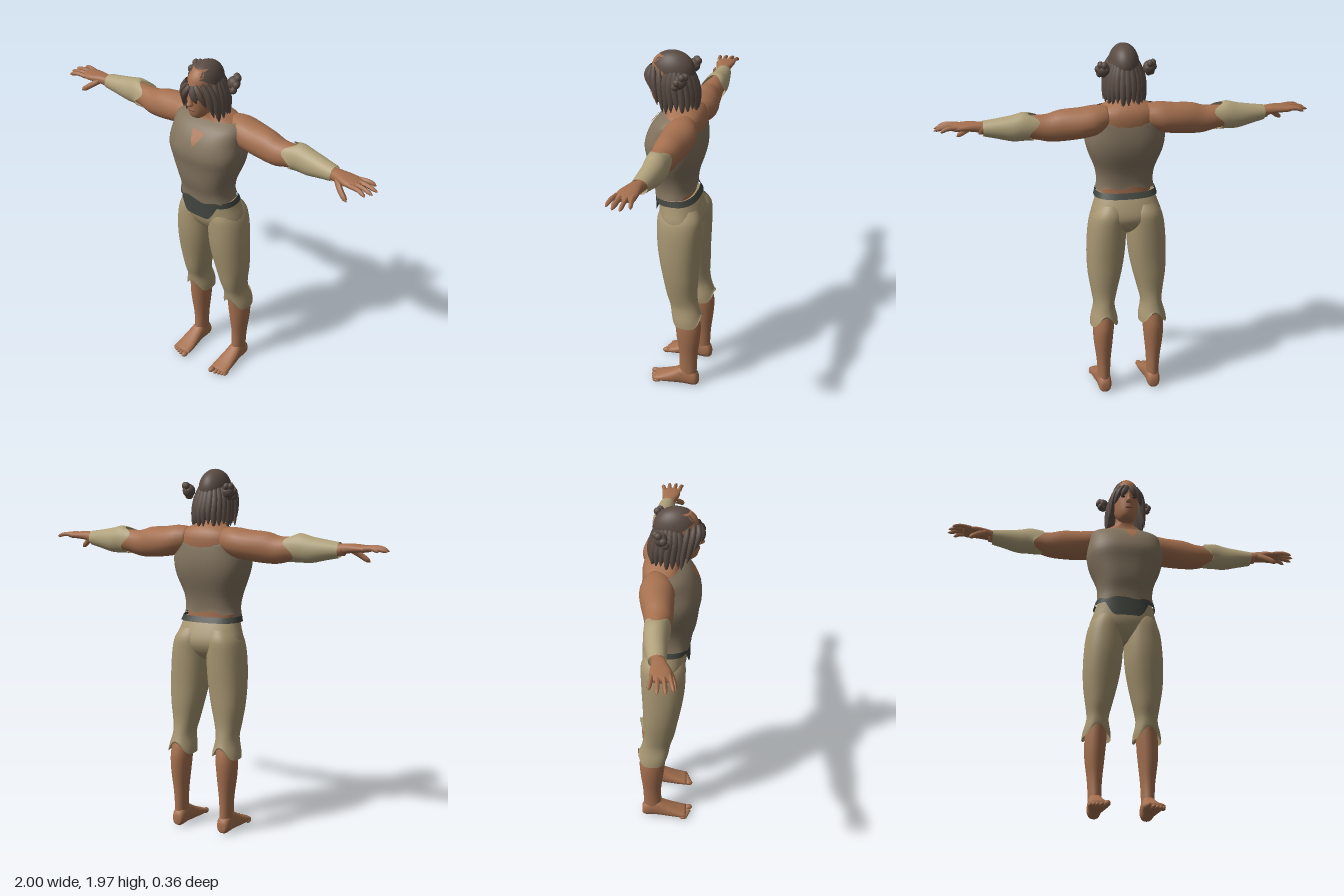
import * as THREE from 'three';

const material = (name, color, side = THREE.FrontSide) => {
  const m = new THREE.MeshStandardMaterial({ color, side });
  m.name = name;
  return m;
};

// Smooth skin through cross-sections [t, u0, u1, v0, v1] stacked along an axis.
// p < 1 squares the section off; startHem / endHem shift the end edges by angle.
function loft(axis, rows, { n = 24, p = 1, open = false, startHem, endHem, sub = 3 } = {}) {
  const last = rows.length - 1, rings = [];
  const at = (i) => rows[Math.max(0, Math.min(last, i))];
  for (let s = 0; s <= last * sub; s++) {
    const i = Math.min(last - 1, Math.floor(s / sub)), f = s / sub - i;
    rings.push(rows[0].map((_, k) => {
      const [a, b, c, d] = [at(i - 1)[k], at(i)[k], at(i + 1)[k], at(i + 2)[k]];
      return b + 0.5 * f * (c - a + f * (2 * a - 5 * b + 4 * c - d + f * (3 * (b - c) + d - a)));
    }));
  }
  const pos = [], index = [];
  const put = (t, u, v) => pos.push(...(axis === 'y' ? [u, t, v] : axis === 'x' ? [t, u, v] : [u, v, t]));
  const pow = (q) => Math.sign(q) * Math.abs(q) ** p;
  const flip = (axis === 'y') !== (rows[last][0] < rows[0][0]);
  const tri = (a, b, c) => index.push(...(flip ? [a, c, b] : [a, b, c]));
  rings.forEach(([t, u0, u1, v0, v1], i) => {
    const f = i / (rings.length - 1);
    for (let j = 0; j < n; j++) {
      const th = (j / n) * Math.PI * 2;
      let tt = t;
      if (startHem) tt += startHem(th) * (1 - f) ** 4;
      if (endHem) tt += endHem(th) * f ** 8;
      put(tt, (u0 + u1) / 2 + pow(Math.cos(th)) * (u1 - u0) / 2, (v0 + v1) / 2 + pow(Math.sin(th)) * (v1 - v0) / 2);
    }
  });
  const end = (rings.length - 1) * n;
  for (let i = 0; i < end; i += n) for (let j = 0; j < n; j++) {
    const k = (j + 1) % n;
    tri(i + j, i + k, i + n + k);
    tri(i + j, i + n + k, i + n + j);
  }
  if (!open) {
    const c = pos.length / 3;
    for (const [t, u0, u1, v0, v1] of [rows[0], rows[last]]) put(t, (u0 + u1) / 2, (v0 + v1) / 2);
    for (let j = 0; j < n; j++) {
      const k = (j + 1) % n;
      tri(c, k, j);
      tri(c + 1, end + j, end + k);
    }
  }
  const g = new THREE.BufferGeometry();
  g.setAttribute('position', new THREE.Float32BufferAttribute(pos, 3));
  g.setIndex(index);
  g.computeVertexNormals();
  return g;
}

// Tube along points whose radius follows a profile
function taper(points, r, profile, segs = 9, sides = 7) {
  const curve = new THREE.CatmullRomCurve3(points.map((q) => new THREE.Vector3(...q)));
  const g = new THREE.TubeGeometry(curve, segs, r, sides), a = g.attributes.position, v = new THREE.Vector3();
  for (let i = 0; i < a.count; i++) {
    const t = Math.floor(i / (sides + 1)) / segs, c = curve.getPointAt(t);
    v.fromBufferAttribute(a, i).sub(c).multiplyScalar(profile(t)).add(c);
    a.setXYZ(i, v.x, v.y, v.z);
  }
  g.computeVertexNormals();
  return g;
}
const lockShape = (t) => Math.max(0.02, Math.sin(Math.PI * (0.15 + 0.85 * t))) ** 0.6;
const fingerShape = (t) => (t > 0.99 ? 0.05 : t > 0.85 ? 0.65 : 1 - 0.2 * t);
const ball = (x, y, z, sx, sy, sz) => new THREE.SphereGeometry(1, 12, 8).scale(sx, sy, sz).translate(x, y, z);

export function createModel() {
  const model = new THREE.Group();
  model.name = 'figure';
  const skin = material('skin', 0xa5704f);
  const cloth = material('shirtCloth', 0x83745f, THREE.DoubleSide);
  const trouser = material('trouserCloth', 0xa59470, THREE.DoubleSide);
  const wrap = material('armWrap', 0xb0a17b, THREE.DoubleSide);
  const dark = material('beltCloth', 0x42453f, THREE.DoubleSide);
  const hair = material('hair', 0x594b43, THREE.DoubleSide);
  const lip = material('lips', 0x834f3c);
  const eye = material('eyes', 0x2e2622);

  const add = (name, geo, mat) => {
    const m = new THREE.Mesh(geo, mat);
    m.name = name;
    model.add(m);
  };
  // Adds a left part and its mirrored right twin
  const pair = (name, geo, mat) => {
    add('left' + name, geo, mat);
    const g = geo.clone().scale(-1, 1, 1), ix = g.index.array;
    for (let i = 0; i < ix.length; i += 3) [ix[i], ix[i + 1]] = [ix[i + 1], ix[i]];
    add('right' + name, g, mat);
  };
  const sym = (rows) => rows.map(([t, w, a, b]) => [t, -w, w, a, b]);

  // Torso, neck and shirt
  add('torso', loft('y', sym([[1.10, .145, -.09, .085], [1.25, .14, -.085, .10], [1.45, .18, -.12, .135],
    [1.58, .18, -.14, .105], [1.64, .155, -.128, .06], [1.675, .085, -.095, .055], [1.70, .056, -.06, .06],
    [1.78, .05, -.04, .07]]), { p: 0.85 }), skin);
  add('shirt', loft('y', sym([[1.65, .165, -.11, .05], [1.62, .198, -.13, .10], [1.56, .205, -.14, .145],
    [1.48, .215, -.145, .17], [1.40, .20, -.135, .158], [1.30, .162, -.105, .145], [1.23, .152, -.095, .125],
    [1.18, .16, -.095, .118]]), {
    n: 40, p: 0.8, open: true,
    startHem: (a) => -0.06 * Math.max(0, -Math.sin(a)),
    endHem: (a) => 0.008 * Math.cos(7 * a) + 0.03 * Math.max(0, -Math.sin(a)),
  }), cloth);
  // Open notch of the collar
  const notch = new THREE.BufferGeometry();
  notch.setAttribute('position', new THREE.Float32BufferAttribute([-.02, 1.615, .114, .06, 1.605, .118,
    .04, 1.565, .15, .015, 1.53, .166, -.003, 1.565, .152], 3));
  notch.setIndex([4, 2, 1, 4, 1, 0, 4, 3, 2]);
  notch.computeVertexNormals();
  add('collarNotch', notch, skin);

  // Hips, trouser legs and belt with a dropped front panel
  add('hips', loft('y', sym([[1.175, .155, -.095, .10], [1.12, .172, -.125, .098], [1.05, .192, -.148, .092],
    [0.99, .165, -.125, .065], [0.95, .09, -.08, .02]]), { n: 32, p: 0.85 }), trouser);
  pair('TrouserLeg', loft('y', [[1.12, .03, .15, -.12, .07], [1.07, .008, .187, -.15, .088], [1.0, .003, .207, -.153, .09],
    [.9, .005, .217, -.15, .085], [.8, .015, .22, -.145, .07], [.7, .035, .215, -.143, .05], [.6, .06, .2, -.14, .03],
    [.53, .075, .192, -.15, .01], [.46, .062, .21, -.165, 0], [.42, .06, .215, -.175, -.005]], {
    n: 32, p: 0.92, open: true, endHem: (a) => 0.075 * Math.abs(Math.sin(a)) ** 6,
  }), trouser);
  add('belt', loft('y', sym([[1.185, .163, -.10, .114], [1.155, .172, -.118, .113]]), {
    n: 64, p: 0.8, open: true, sub: 6,
    endHem: (a) => -0.08 * Math.min(1, Math.max(0, (Math.sin(a) - 0.78) / 0.16)),
  }), dark);

  // Lower legs and bare feet
  pair('Calf', loft('y', [[.53, .085, .182, -.135, -.01], [.42, .082, .198, -.165, -.02], [.32, .09, .197, -.163, -.03],
    [.2, .102, .182, -.15, -.045], [.1, .106, .176, -.146, -.043], [.04, .106, .176, -.145, -.04]]), skin);
  pair('Foot', loft('z', [[-.156, .12, .16, .012, .06], [-.135, .104, .176, 0, .095], [-.07, .102, .18, 0, .115],
    [-.02, .096, .187, 0, .09], [.05, .088, .194, 0, .055], [.10, .088, .195, .002, .036]], { p: 0.85 }), skin);
  for (let i = 0; i < 5; i++) {
    const r = i ? 0.0115 : 0.0165;
    pair('Toe' + i, ball([.104, .132, .153, .172, .187][i], r, .112 - i * .007, r, r, .024), skin);
  }

  // Arms and forearm wraps
  pair('Arm', loft('x', [[.10, 1.54, 1.66, -.12, 0], [.17, 1.51, 1.668, -.145, .03], [.25, 1.495, 1.658, -.142, .032],
    [.35, 1.485, 1.65, -.122, .03], [.42, 1.487, 1.63, -.11, .025], [.5, 1.507, 1.628, -.10, .01],
    [.6, 1.517, 1.615, -.092, 0], [.7, 1.535, 1.605, -.072, 0], [.77, 1.542, 1.604, -.06, .005]]), skin);
  pair('ForearmWrap', loft('x', [[.748, 1.532, 1.612, -.078, .008], [.68, 1.518, 1.622, -.092, .009],
    [.6, 1.50, 1.636, -.106, .01], [.54, 1.50, 1.65, -.11, .014], [.49, 1.498, 1.642, -.11, .022]], {
    open: true, endHem: (a) => 0.03 * Math.cos(3 * a),
  }), wrap);

  // Hands with spread fingers
  pair('Palm', loft('x', [[.74, 1.545, 1.603, -.06, .003], [.79, 1.556, 1.606, -.062, .018], [.84, 1.562, 1.604, -.066, .035],
    [.89, 1.565, 1.598, -.066, .034], [.91, 1.572, 1.592, -.055, .025]], { p: 0.85 }), skin);
  [[.028, .048, .975], [0, .012, .995], [-.027, -.028, .998], [-.053, -.068, .965]].forEach(([z0, z1, x], i) =>
    pair('Finger' + i, taper([[.87, 1.584, z0], [.93, 1.587, (z0 + z1) / 2], [x, 1.572, z1]], .0125, fingerShape), skin));
  pair('Thumb', taper([[.79, 1.575, .005], [.83, 1.545, .035], [.88, 1.507, .055]], .017, fingerShape), skin);

  // Head and face
  add('head', loft('y', sym([[1.683, .028, .07, .125], [1.70, .045, .02, .143], [1.74, .062, -.03, .152],
    [1.80, .07, -.06, .153], [1.86, .072, -.065, .15], [1.91, .066, -.055, .138], [1.945, .045, -.02, .105]])), skin);
  add('nose', loft('y', sym([[1.825, .007, .13, .155], [1.79, .011, .13, .169], [1.772, .017, .13, .18],
    [1.762, .012, .13, .168]]), { n: 12 }), skin);
  add('mouth', ball(0, 1.737, .148, .022, .007, .007), lip);
  pair('Ear', ball(.073, 1.79, .035, .01, .028, .018), skin);
  pair('Eye', ball(.03, 1.806, .144, .013, .006, .005), eye);

  // Hair cap, swept up at the forehead
  add('hairCap', new THREE.SphereGeometry(1, 28, 12, 0, Math.PI * 2, 0, Math.PI * 0.52).rotateX(-0.55)
    .scale(.08, .105, .116).translate(0, 1.86, .034), hair);
  // Long locks around the sides and back, in two layers
  for (let i = 0; i < 15; i++) {
    const a = (-0.12 + 1.24 * i / 14) * Math.PI, c = Math.cos(a), s = Math.sin(a), low = 1.655 + 0.012 * (i % 3);
    add('backLock' + i, taper([[.06 * c, 1.88, .02 - .07 * s], [.085 * c, 1.81, .02 - .095 * s],
      [.095 * c, 1.74, .01 - .105 * s], [.103 * c, low, .005 - .107 * s]], .023, lockShape), hair);
  }
  // Fringe parted over the face
  [[[.008, 1.872, .15], [.022, 1.838, .166], [.045, 1.79, .16]],
    [[.022, 1.878, .145], [.052, 1.838, .147], [.078, 1.765, .125]],
    [[.045, 1.885, .125], [.078, 1.83, .115], [.098, 1.70, .09]],
    [[.055, 1.88, .095], [.088, 1.81, .08], [.105, 1.665, .06]]].forEach((path, i) =>
    pair('FringeLock' + i, taper(path, .017, lockShape), hair));
  // Coiled side buns
  pair('Bun', ball(.12, 1.85, -.04, .034, .036, .034), hair);
  for (let i = 0; i < 6; i++) {
    const a = i * Math.PI / 3;
    pair('BunCoil' + i, ball(.128 + .018 * Math.cos(a), 1.85 + .03 * Math.sin(a), -.04 + .024 * Math.cos(a + 1), .017, .02, .02), hair);
  }
  return model;
}
